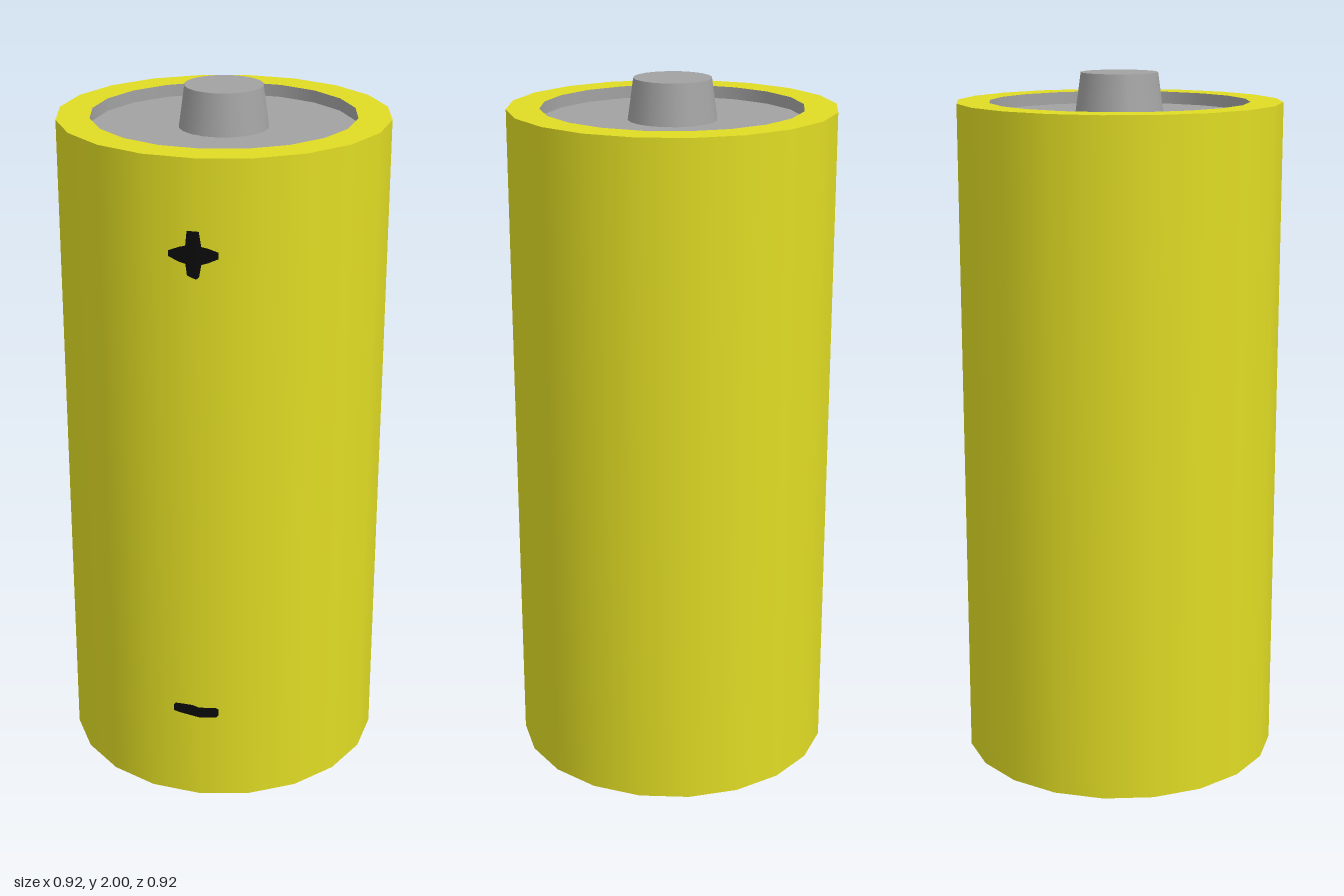
import * as THREE from 'three';
import { mergeGeometries } from 'three/addons/utils/BufferGeometryUtils.js';

const SIDES = 20;
const RADIUS = 0.46;
const HEIGHT = 1.92;

const mat = (name, color) => {
  const m = new THREE.MeshStandardMaterial({ color });
  m.name = name;
  return m;
};

// Revolve a profile one segment at a time: round sides stay smooth, rims stay sharp
function turned(name, profile, material) {
  const pts = profile.map(([r, y]) => new THREE.Vector2(r, y));
  const bands = pts.slice(1).map((p, i) => new THREE.LatheGeometry([pts[i], p], SIDES));
  const mesh = new THREE.Mesh(mergeGeometries(bands), material);
  mesh.name = name;
  return mesh;
}

// Thin sign laid on the two front facets, which meet in a ridge at x = 0
function sign(name, halves, y, material) {
  const slope = Math.tan(Math.PI / SIDES);
  const group = new THREE.Group();
  group.name = name;
  for (const outline of halves) {
    const shape = new THREE.Shape(outline.map(([px, py]) => new THREE.Vector2(px, py)));
    const geo = new THREE.ShapeGeometry(shape);
    const pos = geo.attributes.position;
    for (let i = 0; i < pos.count; i++) {
      pos.setZ(i, RADIUS + 0.003 - Math.abs(pos.getX(i)) * slope);
    }
    geo.computeVertexNormals();
    const mesh = new THREE.Mesh(geo, material);
    mesh.name = name + 'Half';
    mesh.position.y = y;
    group.add(mesh);
  }
  return group;
}

export function createModel() {
  const yellow = mat('yellow casing', 0xe0dc24);
  const grey = mat('grey metal', 0xa2a2a2);
  const black = mat('black print', 0x0a0a0a);
  yellow.side = grey.side = THREE.FrontSide;
  black.side = THREE.DoubleSide;

  const model = new THREE.Group();
  model.name = 'battery';

  // Casing with its two rims
  model.add(turned('casing', [[0.342, 0], [RADIUS, 0], [RADIUS, HEIGHT], [0.368, HEIGHT]], yellow));

  // Recessed metal ends
  model.add(turned('topPlate', [[0.368, HEIGHT], [0.368, 1.885], [0, 1.885]], grey));
  model.add(turned('bottomPlate', [[0, 0.067], [0.342, 0.067], [0.342, 0]], grey));

  // Tapered terminal
  model.add(turned('terminal', [[0.125, 1.885], [0.109, 2], [0, 2]], grey));

  // Plus sign
  model.add(sign('plusSign', [
    [[0, -0.064], [0.008, -0.058], [0.014, -0.024], [0.03, -0.02], [0.057, -0.009],
      [0.057, 0.009], [0.03, 0.02], [0.014, 0.024], [0.008, 0.064], [0, 0.066]],
    [[0, 0.066], [-0.024, 0.064], [-0.028, 0.025], [-0.045, 0.02], [-0.074, 0.008],
      [-0.074, -0.008], [-0.045, -0.02], [-0.028, -0.024], [-0.024, -0.055], [0, -0.064]],
  ], 1.665, black));

  // Minus sign
  model.add(sign('minusSign', [
    [[0, -0.018], [0.05, -0.018], [0.056, -0.01], [0.056, 0.008], [0.048, 0.013], [0, 0.015]],
    [[0, 0.015], [-0.02, 0.02], [-0.07, 0.018], [-0.075, 0.01], [-0.075, -0.008],
      [-0.06, -0.012], [-0.02, -0.016], [0, -0.018]],
  ], 0.285, black));

  return model;
}
